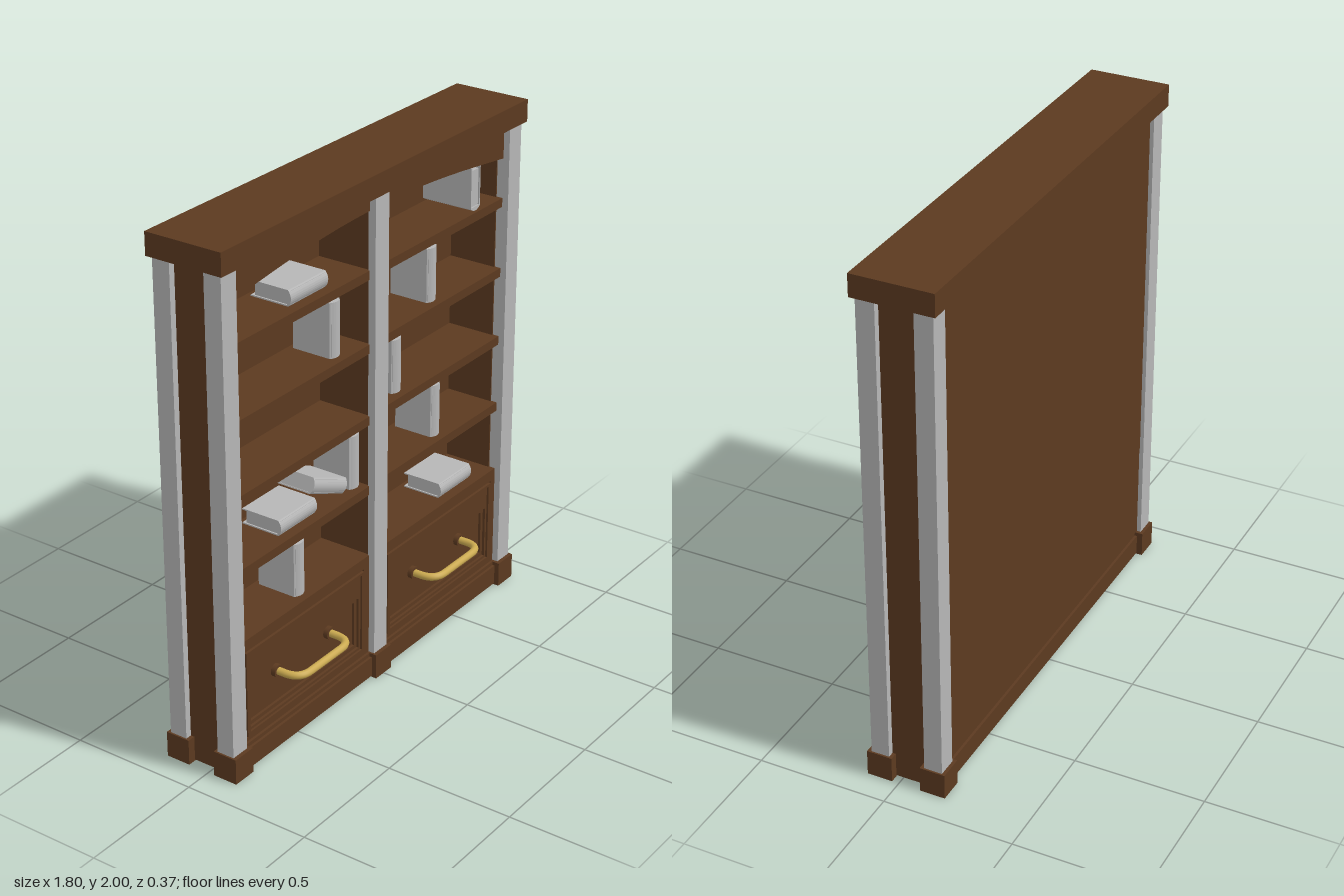
import * as THREE from 'three';

export function createModel() {
  const model = new THREE.Group();
  model.name = 'bookcase';
  const mat = (name, color) => {
    const m = new THREE.MeshStandardMaterial({ color });
    m.name = name;
    return m;
  };
  const wood = mat('dark wood', 0x5c3a20);
  const grey = mat('pale grey', 0xb6b6b6);
  const brass = mat('brass', 0xcbaa50);

  const add = (name, geo, material, parent = model) => {
    const mesh = new THREE.Mesh(geo, material);
    mesh.name = name;
    parent.add(mesh);
    return mesh;
  };
  // Box given by its lower and upper limits on each axis
  const box = (name, m, x0, x1, y0, y1, z0, z1, parent) => {
    const g = new THREE.BoxGeometry(x1 - x0, y1 - y0, z1 - z0);
    g.translate((x0 + x1) / 2, (y0 + y1) / 2, (z0 + z1) / 2);
    return add(name, g, m, parent);
  };
  const poly = (pts) => pts.map(([x, y]) => new THREE.Vector2(x, y));
  const rect = (x0, x1, y0, y1) => poly([[x0, y0], [x1, y0], [x1, y1], [x0, y1]]);
  // Flat frame between an outline and a hole, from z0 to z1
  const frame = (name, outer, hole, z0, z1, parent) => {
    const s = new THREE.Shape(outer);
    s.holes.push(new THREE.Path(hole));
    const g = new THREE.ExtrudeGeometry(s, { depth: z1 - z0, bevelEnabled: false });
    g.translate(0, 0, z0);
    return add(name, g, wood, parent);
  };

  // Carcass
  box('cornice', wood, -0.9, 0.9, 1.915, 2, -0.185, 0.125);
  box('base', wood, -0.86, 0.86, 0.005, 0.085, -0.16, 0.105);
  box('baseLedge', wood, -0.85, 0.85, 0.085, 0.1, -0.15, 0.095);
  box('backPanel', wood, -0.82, 0.82, 0.49, 1.915, -0.155, -0.135);
  box('lowerBackPanel', wood, -0.82, 0.82, 0.1, 0.488, -0.153, -0.135);
  box('divider', wood, -0.035, 0.035, 0.1, 1.915, -0.135, 0.085);
  box('centrePost', grey, -0.04, 0.04, 0.1, 1.915, 0.08, 0.11);
  box('centrePlinth', wood, -0.048, 0.048, 0, 0.1, 0.03, 0.125);

  // Sides with corner posts and plinths
  for (const s of [-1, 1]) {
    const side = (name, m, a, b, ...r) => box(name, m, Math.min(a * s, b * s), Math.max(a * s, b * s), ...r);
    side('sidePanel', wood, 0.815, 0.86, 0.005, 1.915, -0.15, 0.06);
    for (const [z0, z1] of [[0.04, 0.11], [-0.17, -0.1]]) {
      side('cornerPost', grey, 0.808, 0.885, 0.1, 1.915, z0, z1);
      side('cornerPlinth', wood, 0.795, 0.892, 0, 0.1, z0 - 0.013, z1 + 0.015);
    }
    // Inner lining beside the shelves
    side('innerLining', wood, 0.803, 0.816, 0.49, 1.915, -0.14, 0.06);

    // Shelves
    for (const y of [0.49, 0.76, 1.04, 1.32, 1.6]) {
      side('shelf', wood, 0.035, 0.808, y, y + (y < 0.5 ? 0.02 : 0.035), -0.137, 0.085);
    }
  }

  // Arched rail under the cornice
  const arch = new THREE.Shape();
  arch.moveTo(-0.808, 1.915);
  arch.lineTo(-0.808, 1.79);
  arch.bezierCurveTo(-0.5, 1.83, -0.3, 1.855, 0, 1.855);
  arch.bezierCurveTo(0.3, 1.855, 0.5, 1.83, 0.808, 1.79);
  arch.lineTo(0.808, 1.915);
  const archGeo = new THREE.ExtrudeGeometry(arch, { depth: 0.03, bevelEnabled: false, curveSegments: 12 });
  archGeo.translate(0, 0, 0.055);
  add('archedRail', archGeo, wood);

  // Handle path: two legs, rounded corners and a straight grip
  const handlePath = () => {
    const v = (x, z) => new THREE.Vector3(x, 0, z);
    const p = new THREE.CurvePath();
    const w = 0.156, r = 0.065, zf = 0.171;
    p.add(new THREE.LineCurve3(v(-w, 0.055), v(-w, zf - r)));
    p.add(new THREE.QuadraticBezierCurve3(v(-w, zf - r), v(-w, zf), v(-w + r, zf)));
    p.add(new THREE.LineCurve3(v(-w + r, zf), v(w - r, zf)));
    p.add(new THREE.QuadraticBezierCurve3(v(w - r, zf), v(w, zf), v(w, zf - r)));
    p.add(new THREE.LineCurve3(v(w, zf - r), v(w, 0.055)));
    return p;
  };

  // Panelled drawers
  for (const s of [-1, 1]) {
    const drawer = new THREE.Group();
    drawer.name = 'drawer';
    drawer.position.x = s * 0.425;
    model.add(drawer);
    box('drawerBody', wood, -0.385, 0.385, 0.1, 0.49, -0.137, 0.062, drawer);
    frame('drawerSurround', rect(-0.385, 0.385, 0.1, 0.49), rect(-0.355, 0.355, 0.115, 0.465), 0.06, 0.085, drawer);
    frame('drawerFrame', rect(-0.35, 0.35, 0.12, 0.46), rect(-0.335, 0.335, 0.135, 0.45), 0.06, 0.09, drawer);
    const house = (i) => poly([[-0.325 + i, 0.145 + i], [0.325 - i, 0.145 + i], [0.325 - i, 0.355 - i],
      [0, 0.44 - i], [-0.325 + i, 0.355 - i]]);
    frame('drawerMoulding', rect(-0.335, 0.335, 0.135, 0.45), house(0), 0.06, 0.082, drawer);
    frame('drawerBead', house(0), house(0.015), 0.06, 0.072, drawer);
    for (const x of [-0.156, 0.156]) {
      const rose = add('handleRosette', new THREE.CylinderGeometry(0.024, 0.024, 0.02, 20), wood, drawer);
      rose.rotation.x = Math.PI / 2;
      rose.position.set(x, 0.29, 0.07);
    }
    const handle = add('handle', new THREE.TubeGeometry(handlePath(), 60, 0.0145, 12), brass, drawer);
    handle.position.y = 0.29;
  }

  // Book: curved cover wrapped round a recessed page block
  const T = 0.03, H = 0.21, D = 0.17;
  const cover = new THREE.Shape();
  cover.moveTo(-T, D / 2);
  cover.lineTo(-T, -D / 2 + 0.012);
  cover.quadraticCurveTo(0, -D / 2 - 0.012, T, -D / 2 + 0.012);
  cover.lineTo(T, D / 2);
  cover.lineTo(T - 0.005, D / 2);
  cover.lineTo(T - 0.005, -D / 2 + 0.016);
  cover.lineTo(-T + 0.005, -D / 2 + 0.016);
  cover.lineTo(-T + 0.005, D / 2);
  const coverGeo = new THREE.ExtrudeGeometry(cover, { depth: H, bevelEnabled: false, curveSegments: 8 });
  coverGeo.translate(0, 0, -H / 2);
  coverGeo.rotateX(-Math.PI / 2);
  const pagesGeo = new THREE.BoxGeometry(2 * T - 0.009, H - 0.012, D - 0.022);
  pagesGeo.translate(0, 0, 0.003);
  const book = (x, y, roll = 0, pitch = 0, z = -0.03) => {
    const g = new THREE.Group();
    g.name = 'book';
    add('bookCover', coverGeo, grey, g);
    add('bookPages', pagesGeo, grey, g);
    g.position.set(x, y, z);
    g.rotation.set(pitch, 0, roll);
    model.add(g);
  };
  // The cover spine faces +z after the turn; upright books by shelf height
  for (const [x, y] of [[-0.188, 1.355], [0.405, 1.355], [-0.77, 1.075], [0.185, 1.075],
    [-0.075, 0.795], [0.442, 0.795], [-0.408, 0.51], [0.072, 0.51]]) book(x, y + H / 2);
  // Books lying flat, one leaning and one on its spine
  for (const [x, y] of [[-0.345, 1.635], [-0.418, 0.795], [0.58, 0.51]]) book(x, y + T, Math.PI / 2);
  book(-0.233, 0.868, Math.PI / 2 - 0.4);
  book(0.64, 1.722, 0, Math.PI / 2);
  return model;
}
